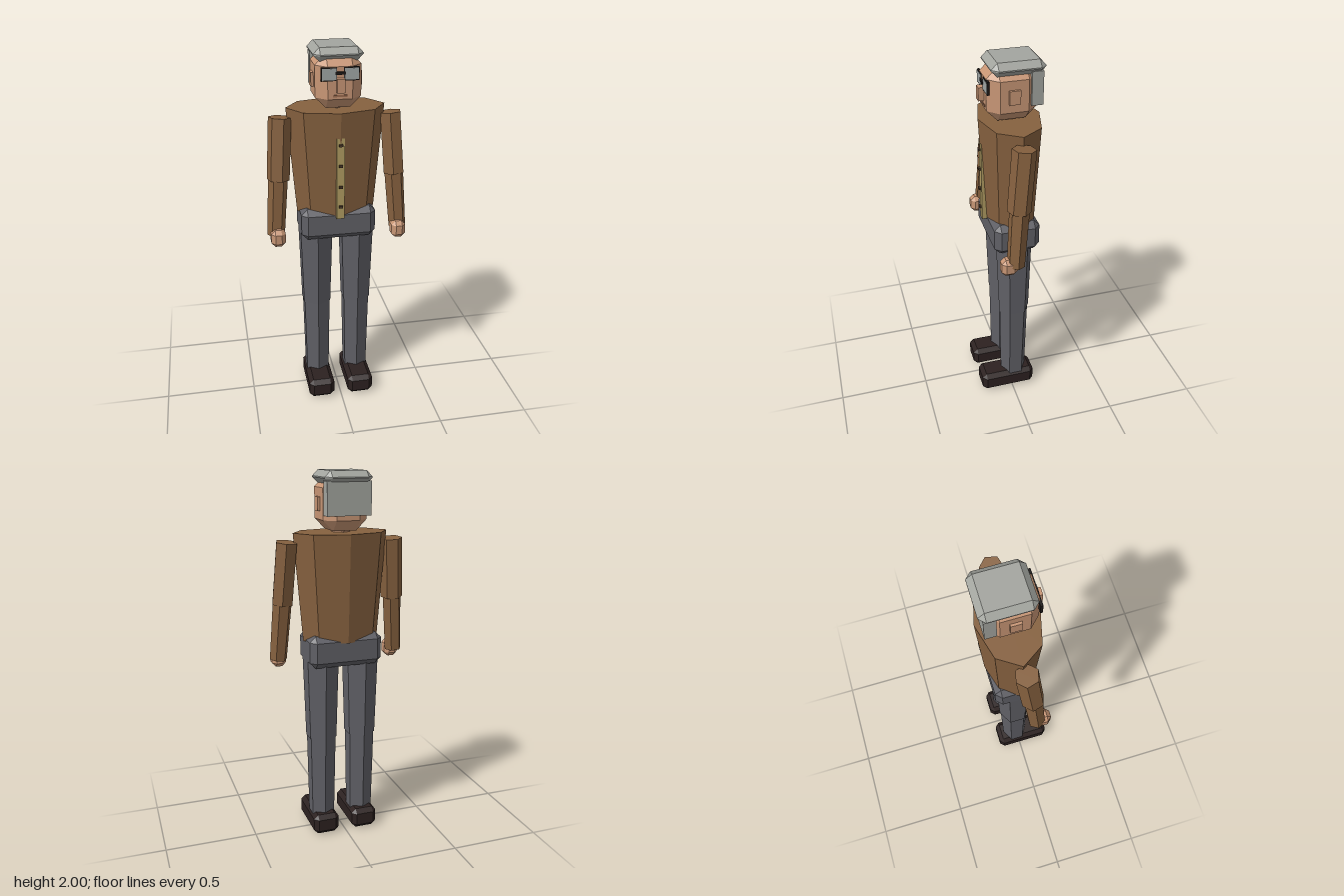
import * as THREE from 'three';
import { ConvexGeometry } from 'three/addons/geometries/ConvexGeometry.js';

const mat = (name, color) => {
  const m = new THREE.MeshStandardMaterial({ color, flatShading: true });
  m.name = name;
  return m;
};

export function createModel() {
  const jacket = mat('jacket brown', 0x86613f);
  const trousers = mat('trouser grey', 0x606066);
  const skin = mat('skin', 0xc89675);
  const hairGrey = mat('hair grey', 0xa3a59f);
  const shoeDark = mat('shoe dark', 0x2c2120);
  const shirt = mat('shirt front', 0xb09c62);
  const buttonDark = mat('button dark', 0x4a3828);
  const frameBlack = mat('frame black', 0x1c1817);
  const lensGrey = mat('lens grey', 0xa0a7a5);
  const lip = mat('lip', 0x9c6c50);

  const model = new THREE.Group();
  model.name = 'standingMan';

  const add = (name, geometry, material, x, y, z) => {
    const m = new THREE.Mesh(geometry, material);
    m.name = name;
    m.position.set(x, y, z);
    model.add(m);
    return m;
  };
  const box = (name, material, w, h, d, x, y, z) =>
    add(name, new THREE.BoxGeometry(w, h, d), material, x, y, z);

  // Box with all edges cut at 45 degrees
  const chamferBox = (name, material, w, h, d, c, x, y, z) => {
    const pts = [];
    for (const sx of [-1, 1]) for (const sy of [-1, 1]) for (const sz of [-1, 1]) {
      const a = w / 2, b = h / 2, e = d / 2;
      pts.push(
        new THREE.Vector3(sx * a, sy * (b - c), sz * (e - c)),
        new THREE.Vector3(sx * (a - c), sy * b, sz * (e - c)),
        new THREE.Vector3(sx * (a - c), sy * (b - c), sz * e));
    }
    return add(name, new ConvexGeometry(pts), material, x, y, z);
  };

  // Six-sided limb running between two points
  const limb = (name, material, top, bottom, rTop, rBottom, twist = 0) => {
    const a = new THREE.Vector3(...top), b = new THREE.Vector3(...bottom);
    const axis = a.clone().sub(b);
    const g = new THREE.CylinderGeometry(rTop, rBottom, axis.length(), 6, 1, false, twist);
    const m = add(name, g, material, 0, 0, 0);
    m.position.copy(a).add(b).multiplyScalar(0.5);
    m.quaternion.setFromUnitVectors(new THREE.Vector3(0, 1, 0), axis.normalize());
    return m;
  };

  // Torso: eight-sided, tapering to the waist
  const torso = add('torso', new THREE.CylinderGeometry(0.257, 0.21, 0.57, 8), jacket, 0, 1.405, -0.022);
  torso.scale.z = 0.62;
  chamferBox('hips', trousers, 0.4, 0.175, 0.245, 0.032, 0, 1.0725, -0.02);

  // Shirt strip and buttons
  box('shirtFront', shirt, 0.042, 0.44, 0.03, 0, 1.34, 0.114);
  for (const y of [1.19, 1.3, 1.415, 1.525])
    box('button', buttonDark, 0.02, 0.012, 0.03, 0, y, 0.125);

  // Head
  add('neck', new THREE.CylinderGeometry(0.05, 0.05, 0.08, 6), skin, 0, 1.71, -0.02);
  chamferBox('head', skin, 0.234, 0.27, 0.253, 0.055, 0, 1.835, -0.018);
  box('nose', skin, 0.04, 0.068, 0.05, 0, 1.826, 0.112);
  box('mouth', lip, 0.074, 0.01, 0.008, 0, 1.772, 0.107);
  chamferBox('hairCap', hairGrey, 0.25, 0.068, 0.27, 0.031, 0, 1.966, -0.043);
  box('backHair', hairGrey, 0.234, 0.17, 0.058, 0, 1.865, -0.132);

  // Glasses
  box('glassesBridge', frameBlack, 0.05, 0.014, 0.012, 0, 1.885, 0.112);

  for (const s of [-1, 1]) {
    const side = s > 0 ? 'left' : 'right';
    box(side + 'Ear', skin, 0.03, 0.07, 0.056, s * 0.115, 1.834, -0.017);
    box(side + 'GlassesFrame', frameBlack, 0.078, 0.066, 0.012, s * 0.056, 1.88, 0.106);
    box(side + 'Lens', lensGrey, 0.07, 0.056, 0.004, s * 0.056, 1.88, 0.112);

    // Arms
    limb(side + 'UpperArm', jacket, [s * 0.288, 1.645, -0.015], [s * 0.31, 1.32, 0.015], 0.06, 0.06, s * -0.25);
    limb(side + 'Forearm', jacket, [s * 0.31, 1.34, 0.012], [s * 0.334, 1.015, 0.036], 0.052, 0.047, s * -0.5);
    chamferBox(side + 'Hand', skin, 0.077, 0.095, 0.085, 0.022, s * 0.327, 1.015, 0.07);

    // Legs
    limb(side + 'Thigh', trousers, [s * 0.113, 1.02, -0.02], [s * 0.113, 0.565, -0.022], 0.1, 0.086);
    limb(side + 'Shin', trousers, [s * 0.113, 0.58, -0.021], [s * 0.113, 0.1, -0.018], 0.082, 0.073);
    chamferBox(side + 'Shoe', shoeDark, 0.145, 0.115, 0.31, 0.024, s * 0.113, 0.0575, 0.025);
  }

  return model;
}
